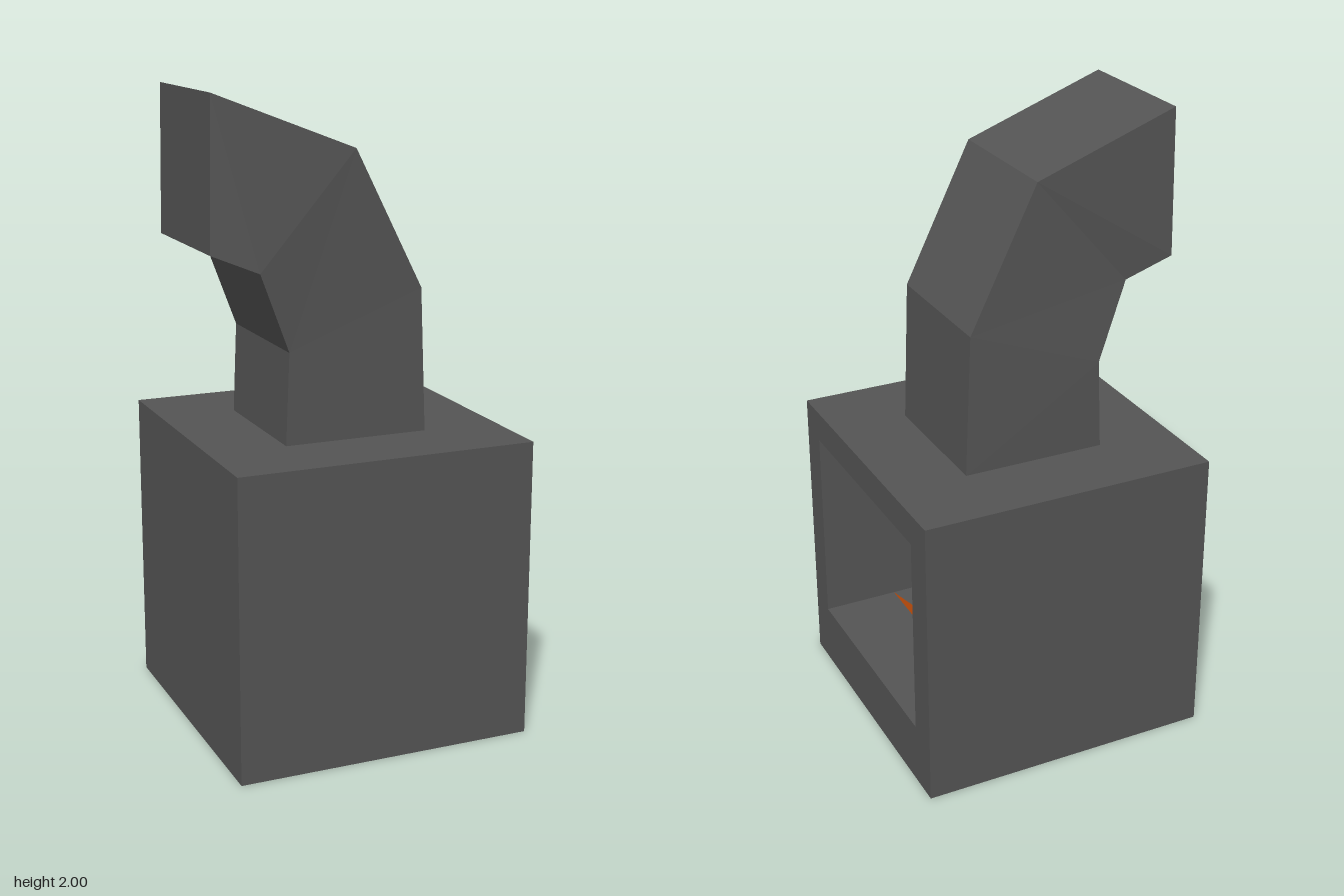
import * as THREE from 'three';

const iron = new THREE.MeshStandardMaterial({ color: 0x555555 });
iron.name = 'iron grey';
const flameOrange = new THREE.MeshStandardMaterial({ color: 0xd4570d, side: THREE.DoubleSide });
flameOrange.name = 'flame orange';

const HALF = 0.475; // half width of the cube body
const HEIGHT = 0.95;

function addMesh(group, name, geometry, material) {
  const mesh = new THREE.Mesh(geometry, material);
  mesh.name = name;
  group.add(mesh);
  return mesh;
}

function polygon(points) {
  return points.map(([x, y]) => new THREE.Vector2(x, y));
}

// Square duct skinned through four-cornered rings and capped at its end
function ductGeometry(rings) {
  const positions = [];
  const quad = (a, b, c, d) => positions.push(...a, ...b, ...c, ...a, ...c, ...d);
  const corners = rings.map(({ outer, inner, front, back }) => [
    [...outer, front], [...outer, back], [...inner, back], [...inner, front],
  ]);
  for (let r = 0; r < corners.length - 1; r++) {
    const a = corners[r], b = corners[r + 1];
    for (let i = 0; i < 4; i++) {
      const j = (i + 1) % 4;
      quad(a[i], a[j], b[j], b[i]);
    }
  }
  quad(...corners[corners.length - 1]);
  const geometry = new THREE.BufferGeometry();
  geometry.setAttribute('position', new THREE.Float32BufferAttribute(positions, 3));
  geometry.computeVertexNormals();
  return geometry;
}

export function createModel() {
  const model = new THREE.Group();
  model.name = 'furnace';

  // Solid rear half of the body; its inner face is the back of the firebox
  const rear = addMesh(model, 'bodyRear', new THREE.BoxGeometry(HALF, HEIGHT, HALF * 2), iron);
  rear.position.set(-HALF / 2, HEIGHT / 2, 0);

  // Half of the body with the firebox opening, facing +x
  const frame = new THREE.Shape(polygon([[-HALF, 0], [HALF, 0], [HALF, HEIGHT], [-HALF, HEIGHT]]));
  frame.holes.push(new THREE.Path(polygon([[-0.375, 0.2], [-0.375, 0.85], [0.37, 0.85], [0.37, 0.2]])));
  const frameGeometry = new THREE.ExtrudeGeometry(frame, { depth: HALF, bevelEnabled: false });
  frameGeometry.rotateY(Math.PI / 2);
  addMesh(model, 'fireboxFrame', frameGeometry, iron);

  // Flat flame standing inside the firebox
  const flame = new THREE.Shape(polygon([
    [-0.375, 0.2], [0.37, 0.2], [0.31, 0.26], [0.263, 0.43], [0.172, 0.467], [0.172, 0.437],
    [0.135, 0.435], [0.09, 0.405], [0.07, 0.42], [0.05, 0.45], [0.055, 0.488], [0.02, 0.505],
    [-0.01, 0.535], [0.013, 0.58], [0.03, 0.535], [0.056, 0.515], [0.008, 0.605],
    [-0.108, 0.525], [-0.045, 0.43], [-0.135, 0.26],
  ]));
  const flameGeometry = new THREE.ShapeGeometry(flame);
  flameGeometry.rotateY(Math.PI / 2);
  addMesh(model, 'flame', flameGeometry, flameOrange).position.x = 0.23;

  // Bent square chimney leaning toward -x
  addMesh(model, 'chimney', ductGeometry([
    { outer: [0.23, HEIGHT], inner: [-0.23, HEIGHT], front: 0.23, back: -0.23 },
    { outer: [0.212, 1.4], inner: [-0.218, 1.235], front: 0.23, back: -0.23 },
    { outer: [-0.013, 1.83], inner: [-0.315, 1.48], front: 0.25, back: -0.21 },
    { outer: [-0.452, 2], inner: [-0.46, 1.54], front: 0.23, back: -0.23 },
  ]), iron);

  return model;
}
